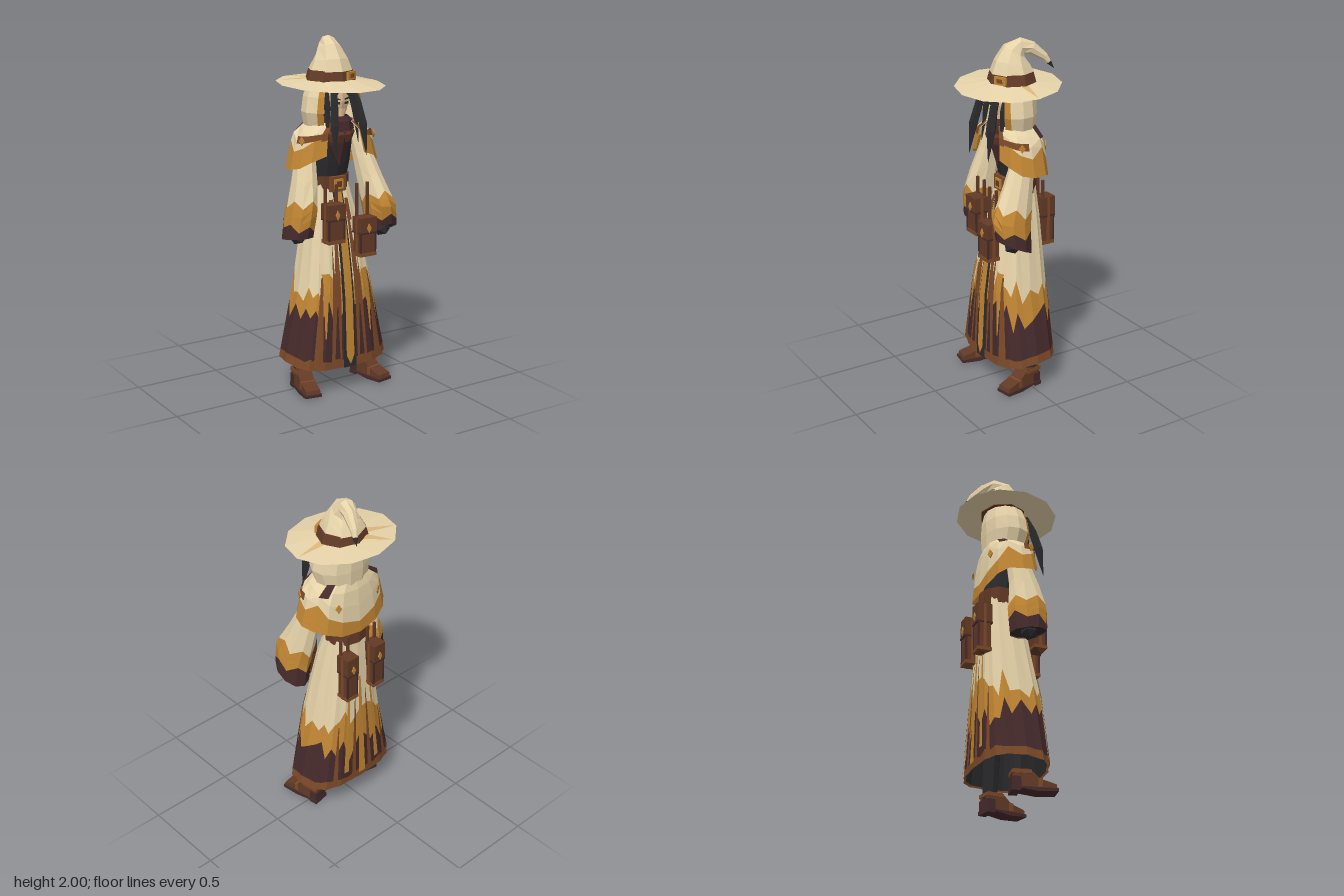
import * as THREE from 'three';

const mat = (name, color) => new THREE.MeshStandardMaterial({ name, color, side: THREE.DoubleSide });
const M = {
  cream: mat('cream cloth', 0xe5d2a8), gold: mat('gold cloth', 0xc18633), sienna: mat('sienna cloth', 0x7c4928),
  leather: mat('leather', 0x633a26), plum: mat('plum cloth', 0x452a2b), black: mat('black', 0x2b2b2e),
  skin: mat('skin', 0xe3c096), tan: mat('tan cloth', 0xdcb57c),
};
const V = (x, y, z) => new THREE.Vector3(x, y, z);

// linear interpolation in rows of [key, a, b, ...]
function at(rows, t) {
  let i = 0;
  while (i < rows.length - 2 && t > rows[i + 1][0]) i++;
  const k = (t - rows[i][0]) / (rows[i + 1][0] - rows[i][0]);
  return rows[i].map((a, j) => a + (rows[i + 1][j] - a) * k);
}
let seed = 7;
const rnd = () => (seed = (seed * 16807) % 2147483647) / 2147483647;
const range = (a, b, n) => Array.from({ length: n + 1 }, (_, i) => a + (b - a) * i / n);
// signed power, which squares off an oval
const pw = (s, e = 0.68) => Math.sign(s) * Math.abs(s) ** e;

// faceted mesh from a list of quads
function quads(name, list, material) {
  const p = [];
  for (const [a, b, c, d] of list) for (const q of [a, b, c, a, c, d]) p.push(q.x, q.y, q.z);
  const g = new THREE.BufferGeometry();
  g.setAttribute('position', new THREE.Float32BufferAttribute(p, 3));
  g.computeVertexNormals();
  const m = new THREE.Mesh(g, material);
  m.name = name;
  return m;
}
// surface f(u, v) split into colour bands at cuts[k][column]
function bands(name, f, us, cuts, mats, nv = 3) {
  const grp = new THREE.Group();
  grp.name = name;
  mats.forEach((m, k) => {
    const list = [];
    const P = (i, j) => f(us[i], cuts[k][i] + (cuts[k + 1][i] - cuts[k][i]) * j / nv);
    for (let i = 0; i < us.length - 1; i++) for (let j = 0; j < nv; j++)
      list.push([P(i, j), P(i, j + 1), P(i + 1, j + 1), P(i + 1, j)]);
    grp.add(quads(name + ' ' + m.name, list, m));
  });
  return grp;
}
const patch = (name, f, u0, u1, nu, v0, v1, m, nv = 3) => {
  const us = range(u0, u1, nu);
  return bands(name, f, us, [us.map(() => v0), us.map(() => v1)], [m], nv);
};
// tapered faceted tube through [x, y, z, radius]
function loft(name, pts, n, m, flat = 1) {
  const rings = pts.map((p, i) => {
    const a = pts[Math.max(i - 1, 0)], b = pts[Math.min(i + 1, pts.length - 1)];
    const t = V(b[0] - a[0], b[1] - a[1], b[2] - a[2]).normalize();
    const s = V(1, 0, 0).cross(t).normalize(), w = t.clone().cross(s);
    return range(0, Math.PI * 2, n).map(q => V(p[0], p[1], p[2])
      .addScaledVector(s, Math.cos(q) * p[3] * flat).addScaledVector(w, -Math.sin(q) * p[3]));
  });
  const list = [];
  for (let i = 0; i < rings.length - 1; i++) for (let j = 0; j < n; j++)
    list.push([rings[i][j], rings[i][j + 1], rings[i + 1][j + 1], rings[i + 1][j]]);
  return quads(name, list, m);
}
function box(name, w, h, d, x, y, z, m) {
  const b = new THREE.Mesh(new THREE.BoxGeometry(w, h, d), m);
  b.position.set(x, y, z);
  b.name = name;
  return b;
}
function diamond(name, w, h, x, y, z, ry = 0) {
  const s = new THREE.Shape([[0, -h], [w, 0], [0, h], [-w, 0]].map(p => new THREE.Vector2(...p)));
  const d = new THREE.Mesh(new THREE.ExtrudeGeometry(s, { depth: 0.006, bevelEnabled: false }), M.gold);
  d.position.set(x, y, z);
  d.rotation.y = ry;
  d.name = name;
  return d;
}
// oval section from rows of [v, y, zc, rx, rz]
const oval = rows => (a, v) => {
  const [, y, zc, rx, rz] = at(rows, v);
  return V(Math.sin(a) * rx, y, zc + Math.cos(a) * rz);
};

function skirt() {
  const g = new THREE.Group();
  g.name = 'robe skirt';
  const rows = [[0, 1.2, -0.05, 0.11, 0.085], [0.2, 1, -0.03, 0.15, 0.125], [0.6, 0.6, -0.005, 0.22, 0.17], [1, 0.175, 0, 0.315, 0.19]];
  const n = 32, dip = v => 0.03 * v ** 4;
  const f = (a, v, k = 1) => {
    const [, y, zc, rx, rz] = at(rows, v), q = k * (1 - 0.03 * (Math.round(a / (Math.PI * 2) * n) % 2));
    return V(pw(Math.sin(a)) * rx * q, y - dip(v) * Math.max(0, Math.cos(a)), zc + pw(Math.cos(a)) * rz * q);
  };
  const us = range(0, Math.PI * 2, n);
  const jag = (base, amp) => {
    const c = us.map((a, i) => base(a) + amp * (rnd() - 0.5 + (i % 2 ? 0.25 : -0.25)));
    c[n] = c[0];
    return c;
  };
  const flat = v => us.map(() => v);
  g.add(bands('skirt', f, us, [flat(0), jag(a => 0.53 + 0.07 * Math.abs(Math.sin(a)), 0.14),
    jag(a => 0.745 - 0.03 * Math.cos(a), 0.13), jag(() => 0.955, 0.02), flat(1)], [M.cream, M.gold, M.plum, M.sienna]));
  g.add(patch('skirt lining', (a, v) => f(a, v, 0.95), 0, Math.PI * 2, n, 0.02, 0.995, M.black));
  // long panels on the front (s = 1) or back (s = -1): x at top and hem, half width at either end
  const panel = (name, s, x0, x1, w0, w1, lift, v0, v1, m) => patch(name, (u, v) => {
    const [, y, zc, rx, rz] = at(rows, v), t = (v - v0) / (v1 - v0);
    const x = x0 + (x1 - x0) * v + s * u * (w0 + (w1 - w0) * t), c = (1 - Math.abs(x / rx) ** 2.94) ** 0.34;
    return V(x, s > 0 ? y - dip(v) * c : y, zc + s * (rz * c + lift));
  }, -1, 1, 2, v0, v1, m, 6);
  g.add(panel('front panel', 1, 0, 0, 0.032, 0.042, 0.004, 0, 1, M.black));
  g.add(panel('front stripe', 1, 0, 0, 0.022, 0.026, 0.01, 0.06, 0.94, M.gold));
  g.add(panel('front stripe point', 1, 0, 0, 0.026, 0.001, 0.01, 0.94, 0.985, M.gold));
  g.add(panel('back stripe', -1, 0, 0, 0.006, 0.026, 0.005, 0.3, 0.97, M.gold));
  for (const s of [-1, 1]) {
    g.add(panel('front brown panel', 1, s * 0.045, s * 0.088, 0.012, 0.034, 0.004, 0.1, 0.98, M.sienna));
    g.add(panel('front dark panel', 1, s * 0.05, s * 0.085, 0.003, 0.016, 0.007, 0.68, 0.95, M.plum));
    g.add(panel('front cream streak', 1, s * 0.055, s * 0.1, 0.012, 0.002, 0.007, 0.22, 0.5, M.cream));
    g.add(panel('front gold streak', 1, s * 0.1, s * 0.16, 0.02, 0.004, 0.005, 0.5, 0.84, M.gold));
    g.add(panel('outer brown panel', 1, s * 0.09, s * 0.205, 0.004, 0.026, 0.006, 0.52, 0.98, M.sienna));
    g.add(panel('back brown panel', -1, s * 0.02, s * 0.065, 0.002, 0.016, 0.005, 0.4, 0.98, M.sienna));
    g.add(panel('back gold streak', -1, s * 0.05, s * 0.125, 0.005, 0.016, 0.005, 0.34, 0.92, M.gold));
    g.add(panel('outer back panel', -1, s * 0.08, s * 0.2, 0.002, 0.016, 0.005, 0.6, 0.98, M.sienna));
  }
  return g;
}

function sleeve(s) {
  const g = new THREE.Group();
  g.name = s > 0 ? 'left sleeve' : 'right sleeve';
  // the right arm hangs further back
  const dz = s > 0 ? 0 : -0.09, tilt = s > 0 ? 1 : 0.3;
  // [v, y, x, z, rx, rz, tilt]
  const rows = [[0, 1.47, 0.16, -0.01, 0.05, 0.06, 0], [0.3, 1.3, 0.19, 0.045 + dz / 3, 0.06, 0.075, 0],
    [0.55, 1.15, 0.212, 0.09 + dz / 2, 0.075, 0.1, 0.02], [0.75, 1.04, 0.232, 0.13 + dz, 0.082, 0.118, 0.035],
    [1, 0.905, 0.25, 0.125 + dz, 0.085, 0.105, 0.05]];
  const f = (a, v) => {
    const [, y, x, z, rx, rz, t] = at(rows, v);
    return V(s * (x + Math.sin(a) * rx), y + t * tilt * Math.cos(a), z + Math.cos(a) * rz);
  };
  const us = range(0, Math.PI * 2, 10), c = v => us.map(() => v);
  const jag = (b, d, front) => us.map((a, i) => b + front * Math.cos(a) + (i % 2 ? d : -d));
  g.add(bands('sleeve', f, us, [c(0), jag(0.64, 0.04, 0), jag(0.86, 0.035, 0.045), c(1)], [M.cream, M.gold, M.plum]));
  g.add(patch('sleeve lining', (a, r) => f(a, 0.985).lerp(V(s * 0.248, 0.925, 0.125 + dz), r), 0, Math.PI * 2, 10, 0, 1, M.black, 1));
  const hand = new THREE.Mesh(new THREE.IcosahedronGeometry(1, 0), M.black);
  hand.name = 'glove';
  hand.scale.set(0.045, 0.045, 0.055);
  hand.position.set(s * 0.25, 0.91, 0.13 + dz);
  g.add(hand);
  return g;
}

function leg(s) {
  const g = new THREE.Group();
  g.name = s > 0 ? 'left leg' : 'right leg';
  g.add(loft('trouser leg', [[s * 0.21, 0.08, -0.01, 0.042], [s * 0.19, 0.3, -0.01, 0.05], [s * 0.08, 0.9, -0.03, 0.06]], 8, M.black));
  const boot = new THREE.Group();
  boot.name = 'boot';
  const side = (name, pts, w, m) => {
    const e = new THREE.Mesh(new THREE.ExtrudeGeometry(new THREE.Shape(pts.map(p => new THREE.Vector2(...p))), { depth: w, bevelEnabled: false }), m);
    e.rotation.y = -Math.PI / 2;
    e.position.x = w / 2;
    e.name = name;
    boot.add(e);
  };
  side('boot upper', [[-0.05, 0.02], [0.19, 0.018], [0.185, 0.045], [0.1, 0.07], [0.045, 0.12], [-0.045, 0.12]], 0.085, M.leather);
  side('sole', [[-0.055, 0], [-0.01, 0], [0, 0.012], [0.09, 0], [0.195, 0.006], [0.195, 0.022], [-0.055, 0.022]], 0.1, M.plum);
  boot.add(box('ankle strap', 0.094, 0.02, 0.105, 0, 0.105, 0, M.sienna), box('toe strap', 0.09, 0.045, 0.025, 0, 0.05, 0.1, M.sienna),
    box('heel patch', 0.09, 0.055, 0.05, 0, 0.05, -0.028, M.plum));
  boot.position.x = s * 0.21;
  boot.rotation.y = s * 0.18;
  g.add(boot);
  return g;
}

function pouch(x, y, z, w, h, d, s) {
  const g = new THREE.Group();
  g.name = 'belt pouch';
  g.add(box('pouch body', w, h, d, 0, 0, 0, M.leather), box('pouch flap', w + 0.008, h * 0.4, d + 0.012, 0, h * 0.31, 0, M.leather),
    box('flap hem', w + 0.01, 0.01, d + 0.016, 0, h * 0.11, 0, M.plum), box('pouch base', w + 0.008, 0.02, d + 0.008, 0, -h / 2 + 0.01, 0, M.sienna));
  for (const k of [-1, 1]) {
    g.add(box('pouch edge', 0.01, h * 0.6, 0.01, k * (w / 2 - 0.002), -h * 0.2, s * (d / 2 - 0.002), M.plum));
    g.add(box('pouch side strip', 0.006, h, 0.016, k * (w / 2 + 0.003), 0, 0, M.sienna));
    g.add(box('pouch strap', 0.014, 1.2 - y - h / 2, 0.014, k * w * 0.35, (1.2 - y + h / 2) / 2, -s * d * 0.4, M.leather));
  }
  g.add(diamond('pouch stud', 0.014, 0.028, 0, h * 0.24, s * (d / 2 + 0.007), s > 0 ? 0 : Math.PI));
  g.position.set(x, y, z);
  return g;
}

function hat() {
  const g = new THREE.Group();
  g.name = 'hat';
  const brim = (a, r) => V(-0.008 * r + Math.sin(a) * (0.11 + 0.2 * r), 1.768 - r * (0.025 + 0.018 * Math.cos(a)) - r * 0.01 * Math.sin(a), -0.015 * (1 - r) + Math.cos(a) * (0.11 + 0.18 * r));
  g.add(patch('brim', brim, 0, Math.PI * 2, 12, 0, 1, M.cream, 1));
  for (const k of [3, 8, 7]) { // pointed streaks on the brim
    const a = k * Math.PI / 6, up = (q, r) => brim(q, r).add(V(0, 0.003, 0));
    g.add(quads('brim streak', [[up(a - 0.2, 0.1), up(a, 0.97), up(a + 0.2, 0.1), up(a, 0.1)]], M.tan));
  }
  const band = new THREE.Mesh(new THREE.CylinderGeometry(0.13, 0.148, 0.06, 8).toNonIndexed(), M.leather);
  band.geometry.computeVertexNormals();
  band.position.set(0, 1.79, -0.018);
  band.scale.z = 0.9;
  band.name = 'hat band';
  g.add(band);
  const buckle = box('hat buckle', 0.075, 0.045, 0.014, 0.065, 1.79, 0.094, M.gold), inner = box('hat buckle centre', 0.035, 0.022, 0.018, 0.065, 1.79, 0.095, M.sienna);
  buckle.rotation.y = inner.rotation.y = 0.4;
  g.add(buckle, inner);
  g.add(loft('crown', [[0, 1.815, -0.02, 0.125], [0, 1.87, -0.02, 0.1], [0, 1.925, -0.035, 0.07], [0.015, 1.955, -0.07, 0.046],
    [0.04, 1.94, -0.12, 0.036], [0.07, 1.89, -0.185, 0.022], [0.082, 1.86, -0.206, 0.014]], 8, M.cream));
  g.add(loft('crown tip', [[0.082, 1.86, -0.206, 0.015], [0.095, 1.825, -0.23, 0.001]], 8, M.black));
  return g;
}

function head() {
  const g = new THREE.Group();
  g.name = 'head';
  g.add(loft('face', [[0, 1.55, 0.085, 0.016], [0, 1.585, 0.05, 0.055], [0, 1.64, 0.028, 0.08], [0, 1.76, 0.02, 0.08]], 10, M.skin));
  for (const s of [-1, 1]) {
    const eye = box('eye', 0.026, 0.012, 0.006, s * 0.03, 1.645, 0.102, M.black), brow = box('brow', 0.032, 0.007, 0.006, s * 0.03, 1.668, 0.102, M.black);
    eye.rotation.y = brow.rotation.y = s * 0.3;
    brow.rotation.z = s * 0.15;
    g.add(eye, brow);
    // hair falling either side of the face
    g.add(loft('front hair', [[s * 0.055, 1.74, 0.1, 0.018], [s * 0.075, 1.65, 0.14, 0.02], [s * 0.092, 1.53, 0.17, 0.022], [s * 0.1, 1.36, 0.195, 0.001]], 5, M.black, 1.25));
    g.add(loft('side hair', [[s * 0.08, 1.74, 0.05, 0.022], [s * 0.088, 1.62, 0.09, 0.018], [s * 0.1, 1.42, 0.115, 0.002]], 5, M.black));
    g.add(loft('fringe', [[s * 0.035, 1.75, 0.09, 0.036], [s * 0.04, 1.715, 0.1, 0.026], [s * 0.05, 1.67, 0.108, 0.001]], 4, M.black, 0.5));
  }
  // hood with gold front edges
  const hood = oval([[0, 1.765, -0.01, 0.13, 0.115], [0.3, 1.69, -0.005, 0.165, 0.135], [0.65, 1.6, 0, 0.184, 0.14], [1, 1.51, -0.01, 0.16, 0.125]]);
  const e = 0.95;
  g.add(patch('hood', hood, e, Math.PI * 2 - e, 9, 0, 1, M.cream, 3));
  for (const s of [-1, 1]) g.add(patch('hood edge', hood, s * 0.72, s * e, 1, 0, 1, M.gold, 3));
  return g;
}

function cape() {
  const g = new THREE.Group();
  g.name = 'shoulder cape';
  const f = (a, v, k = 0) => {
    const [, y, drop, rx, rz] = at([[0, 1.54, 0, 0.13, 0.115], [0.35, 1.475, 0.2, 0.228, 0.138], [1, 1.285, 1, 0.275, 0.155]], v);
    const c = Math.cos(a), e = c > 0 ? 0.7 : 0.85;
    return V(pw(Math.sin(a), e) * (rx + k), y + drop * (c > 0 ? 0.09 * c * c : 0.075 * c * c * c), -0.012 + pw(c, e) * (rz + k));
  };
  const e = 0.32, us = range(e, Math.PI * 2 - e, 14), c = v => us.map(() => v);
  g.add(bands('cape', f, us, [c(0), us.map((_, i) => [0.35, 0.5, 0.6, 0.66, 0.48, 0.7, 0.76, 0.82][Math.min(i, 14 - i)]), c(1)], [M.cream, M.gold]));
  const over = (a, v) => f(a, v, 0.006);
  for (const s of [-1, 1]) {
    g.add(patch('cape front edge', over, s * e, s * 0.5, 1, 0, 0.55, M.sienna));
    g.add(patch('shoulder strap', over, s * 0.5, s * 1.45, 4, 0.36, 0.5, M.sienna));
    g.add(patch('shoulder patch', over, s * 1.9, s * 2.25, 1, 0, 0.32, M.plum));
    const p = f(s * 1.2, 0.45, 0.01);
    g.add(diamond('shoulder diamond', 0.018, 0.025, p.x, p.y, p.z, s * 1.2));
    const q = f(s * 2.6, 0.5, 0.01);
    g.add(diamond('back diamond', 0.018, 0.028, q.x, q.y, q.z, s * 2.6));
  }
  return g;
}

export function createModel() {
  const g = new THREE.Group();
  g.name = 'robed mage';
  g.add(skirt(), cape(), head(), hat());
  for (const s of [-1, 1]) g.add(sleeve(s), leg(s));
  // torso and scarf
  g.add(patch('torso', oval([[0, 1.52, -0.01, 0.1, 0.08], [0.4, 1.4, -0.01, 0.13, 0.095], [1, 1.18, -0.05, 0.11, 0.085]]), 0, Math.PI * 2, 12, 0, 1, M.black));
  g.add(loft('scarf top', [[0, 1.57, 0.03, 0.07], [0, 1.55, 0.03, 0.095], [0, 1.5, 0.025, 0.108]], 9, M.plum));
  g.add(loft('scarf fold', [[0, 1.51, 0.025, 0.1], [0, 1.48, 0.025, 0.112], [0, 1.44, 0.02, 0.1]], 9, M.leather));
  g.add(loft('scarf point', [[0, 1.46, 0.03, 0.105], [0, 1.4, 0.045, 0.075], [0, 1.29, 0.075, 0.002]], 6, M.plum));
  // belt, buckle and pouches
  const belt = new THREE.Mesh(new THREE.CylinderGeometry(1, 1, 0.095, 10).toNonIndexed(), M.leather);
  belt.geometry.computeVertexNormals();
  belt.scale.set(0.128, 1, 0.108);
  belt.position.set(0, 1.18, -0.05);
  belt.name = 'belt';
  g.add(belt, box('buckle plate', 0.1, 0.085, 0.02, 0, 1.185, 0.055, M.sienna), box('buckle', 0.056, 0.056, 0.012, 0, 1.185, 0.068, M.gold),
    box('buckle centre', 0.032, 0.032, 0.008, 0, 1.185, 0.073, M.leather));
  g.add(pouch(-0.09, 0.99, 0.155, 0.1, 0.22, 0.07, 1), pouch(0.095, 0.9, 0.19, 0.1, 0.22, 0.07, 1));
  for (const s of [-1, 1]) g.add(pouch(s * 0.1, 0.955, -0.175, 0.075, 0.28, 0.075, -1));
  return g;
}
